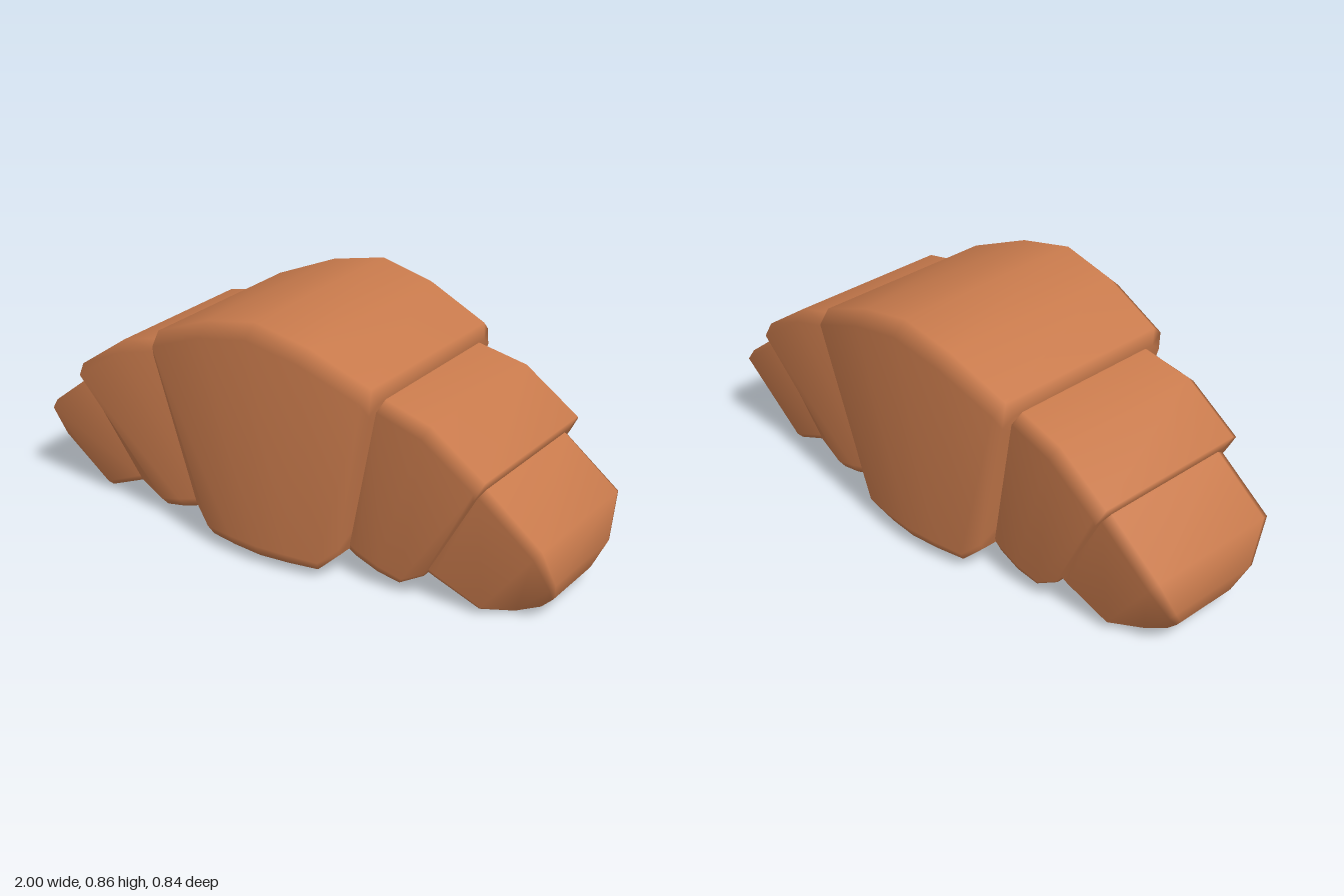
import * as THREE from 'three';

const crust = new THREE.MeshStandardMaterial({ color: 0xc87a4c });
crust.name = 'bakedCrust';

// Each station is [topX, topY, bottomX, bottomY, halfDepth, taper], listed from -x to +x.
// The cross-section is a box with bevelled edges, narrower at the bottom.
function makeSegment(name, stations) {
  const positions = [], index = [];
  const n = 8;
  for (const [tx, ty, bx, by, d, taper] of stations) {
    const half = [[0, 0.88], [0.055, 1], [0.95, taper], [1, taper * 0.94]];
    const ring = [
      ...half.map(([t, w]) => [t, w]),
      ...half.slice().reverse().map(([t, w]) => [t, -w]),
    ];
    for (const [t, w] of ring) {
      positions.push(tx + (bx - tx) * t, ty + (by - ty) * t, w * d);
    }
  }
  const last = stations.length - 1;
  for (let i = 0; i < last; i++) {
    for (let j = 0; j < n; j++) {
      const k = (j + 1) % n;
      const a = i * n + j, b = i * n + k;
      index.push(a, b, b + n, a, b + n, a + n);
    }
  }
  // Close both ends with fans
  for (const i of [0, last]) {
    const [tx, ty, bx, by] = stations[i];
    const centre = positions.length / 3;
    positions.push((tx + bx) / 2, (ty + by) / 2, 0);
    for (let j = 0; j < n; j++) {
      const a = i * n + j, b = i * n + (j + 1) % n;
      if (i === 0) index.push(centre, b, a);
      else index.push(centre, a, b);
    }
  }
  const geometry = new THREE.BufferGeometry();
  geometry.setAttribute('position', new THREE.Float32BufferAttribute(positions, 3));
  geometry.setIndex(index);
  geometry.computeVertexNormals();
  const mesh = new THREE.Mesh(geometry, crust);
  mesh.name = name;
  return mesh;
}

const mirror = (stations) =>
  stations.map(([tx, ty, bx, by, d, taper]) => [-tx, ty, -bx, by, d, taper]).reverse();

export function createModel() {
  const group = new THREE.Group();
  group.name = 'croissant';

  // Large middle roll
  const middle = [
    [0.2, 0.822, 0.11, 0.035, 0.408, 0.91],
    [0.42, 0.73, 0.215, 0.035, 0.385, 0.91],
    [0.435, 0.68, 0.285, 0.1, 0.36, 0.9],
  ];
  group.add(makeSegment('middleRoll', [
    ...mirror(middle), [0, 0.865, 0, 0.033, 0.418, 0.91], ...middle,
  ]));

  // Shoulder rolls on either side
  const shoulder = [
    [0.36, 0.69, 0.25, 0.1, 0.3, 0.82],
    [0.44, 0.68, 0.31, 0.08, 0.322, 0.82],
    [0.61, 0.64, 0.4, 0.055, 0.335, 0.82],
    [0.805, 0.505, 0.48, 0.037, 0.335, 0.8],
    [0.785, 0.46, 0.57, 0.09, 0.31, 0.86],
  ];

  // Rounded tips
  const tip = [
    [0.72, 0.49, 0.54, 0.11, 0.27, 0.9],
    [0.79, 0.458, 0.6, 0.09, 0.283, 0.88],
    [0.985, 0.305, 0.76, 0.02, 0.283, 0.83],
    [1.0, 0.16, 0.845, 0.003, 0.2, 0.75],
    [0.97, 0.08, 0.92, 0.03, 0.13, 0.9],
  ];

  for (const [name, stations] of [['Shoulder', shoulder], ['Tip', tip]]) {
    group.add(makeSegment('left' + name, stations));
    group.add(makeSegment('right' + name, mirror(stations)));
  }
  return group;
}
